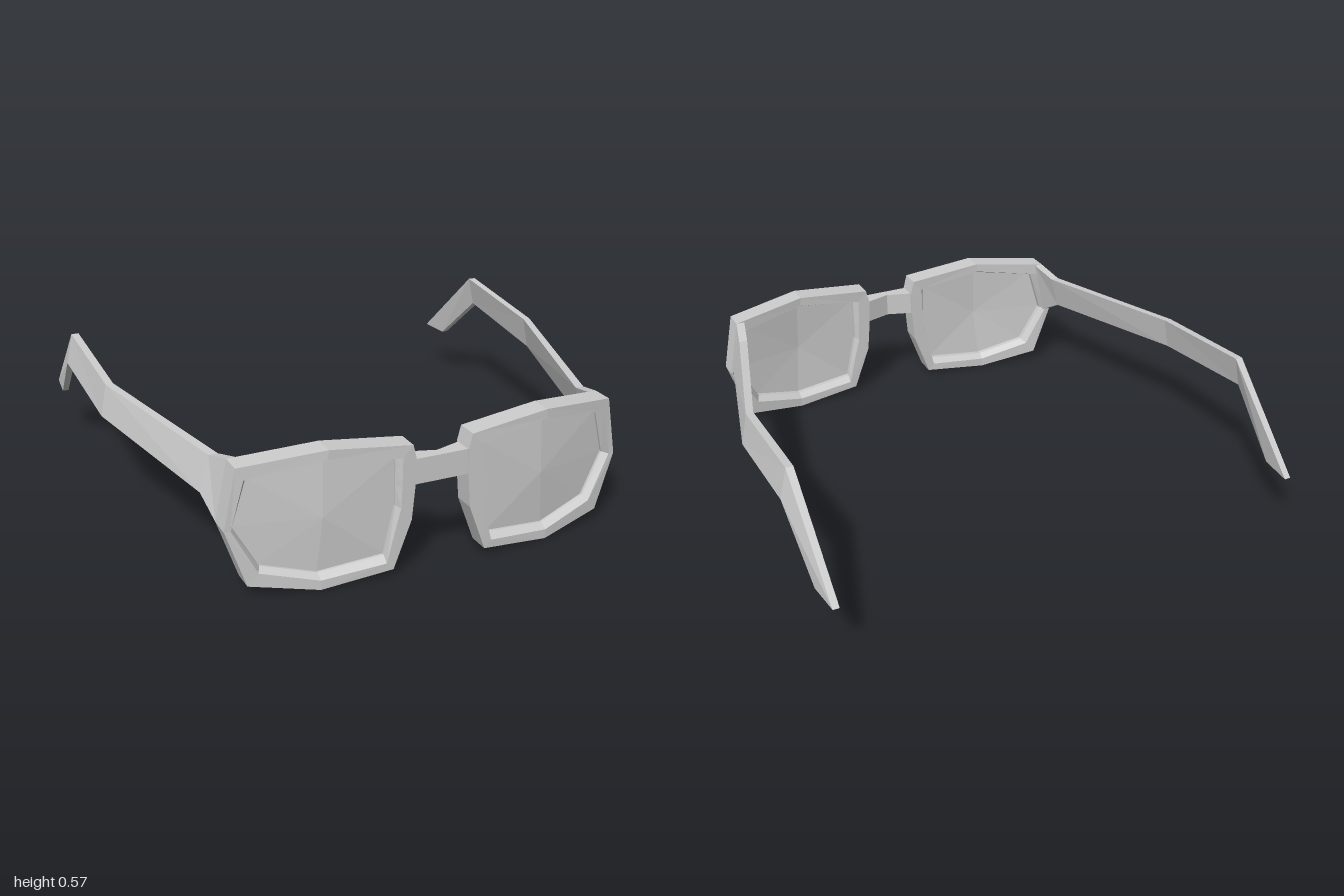
import * as THREE from 'three';

const grey = new THREE.MeshStandardMaterial({ color: 0xcccccc });
grey.name = 'grey';
const greyThin = new THREE.MeshStandardMaterial({ color: 0xcccccc, side: THREE.DoubleSide });
greyThin.name = 'grey lens';

// Flat-faced mesh from triangles; side = -1 mirrors it in x and keeps the winding right
function facetMesh(name, tris, side = 1, material = grey) {
  const pos = [];
  for (const [a, b, c] of tris) {
    for (const p of side > 0 ? [a, b, c] : [a, c, b]) pos.push(p[0] * side, p[1], p[2]);
  }
  const geo = new THREE.BufferGeometry();
  geo.setAttribute('position', new THREE.Float32BufferAttribute(pos, 3));
  geo.computeVertexNormals();
  const mesh = new THREE.Mesh(geo, material);
  mesh.name = name;
  return mesh;
}

// Skin neighbouring rings; rings run counterclockwise seen from the starting end
function loft(rings, caps) {
  const tris = [];
  for (let r = 0; r < rings.length - 1; r++) {
    const a = rings[r], b = rings[r + 1];
    a.forEach((p, i) => {
      const j = (i + 1) % a.length;
      tris.push([p, b[i], b[j]], [p, b[j], a[j]]);
    });
  }
  if (caps) {
    const s = rings[0], e = rings[rings.length - 1];
    for (let i = 1; i < s.length - 1; i++) tris.push([s[0], s[i], s[i + 1]], [e[0], e[i + 1], e[i]]);
  }
  return tris;
}

// Wrap of the front: z of the front face at a given x
const WRAP = [[0, 0.93], [0.2, 0.932], [0.45, 0.917], [0.77, 0.853], [0.85, 0.847]];
function frontZ(x) {
  let k = 1;
  while (k < WRAP.length - 1 && x > WRAP[k][0]) k++;
  const [x0, z0] = WRAP[k - 1], [x1, z1] = WRAP[k];
  return z0 + (z1 - z0) * (x - x0) / (x1 - x0);
}

// Outlines of one rim, counterclockwise from the upper outer corner
const OUTER = [[0.76, 0.515], [0.44, 0.55], [0.12, 0.515], [0.105, 0.455], [0.108, 0.355],
  [0.12, 0.22], [0.19, 0.033], [0.47, 0.004], [0.73, 0.053], [0.806, 0.278]];
const INNER = [[0.733, 0.467], [0.445, 0.513], [0.16, 0.47], [0.16, 0.43], [0.161, 0.355],
  [0.164, 0.275], [0.218, 0.062], [0.47, 0.042], [0.69, 0.1], [0.782, 0.278]];
const LENS = [[0.716, 0.462], [0.445, 0.5], [0.177, 0.46], [0.176, 0.43], [0.175, 0.355],
  [0.174, 0.275], [0.216, 0.084], [0.47, 0.06], [0.677, 0.115], [0.767, 0.278]];
const DEPTH = 0.088;
const place = (outline, back) => outline.map(([x, y]) => [x, y, frontZ(x) - back]);

function rim(side) {
  const front = place(OUTER, 0);
  return facetMesh('rim', loft([front, place(OUTER, DEPTH), place(INNER, DEPTH),
    place(LENS, 0.06), place(LENS, 0.03), place(INNER, 0), front], false), side);
}

// Lens fans out from a slightly raised centre
function lens(side) {
  const edge = place(LENS, 0.04);
  const centre = [0.45, 0.278, frontZ(0.45) - 0.03];
  return facetMesh('lens', edge.map((p, i) => [centre, p, edge[(i + 1) % edge.length]]), side, greyThin);
}

// Stations of the arm: [x, y, z] of top outer and bottom outer edge, then thickness
const ARM = [
  [[0.76, 0.515, 0.768], [0.806, 0.278, 0.762], 0.036],
  [[0.785, 0.485, 0.65], [0.822, 0.345, 0.65], 0.035],
  [[0.965, 0.53, -0.04], [0.99, 0.4, -0.04], 0.03],
  [[0.973, 0.575, -0.545], [1.0, 0.45, -0.545], 0.03],
  [[0.963, 0.225, -0.94], [0.977, 0.225, -0.8], 0.026],
];

function arm(side) {
  const rings = ARM.map(([t, b, w]) => [t, [t[0] - w, t[1], t[2]], [b[0] - w, b[1], b[2]], b]);
  return facetMesh('arm', loft(rings, true), side);
}

// Bridge, notched at the back
function bridge() {
  const ring = (x, back) => [[x, 0.455, back], [x, 0.455, 0.925], [x, 0.355, 0.925], [x, 0.355, back]];
  return facetMesh('bridge', loft([ring(0.115, 0.85), ring(0, 0.885), ring(-0.115, 0.85)], true));
}

export function createModel() {
  const model = new THREE.Group();
  model.name = 'glasses';
  model.add(bridge());
  for (const [side, label] of [[1, 'left'], [-1, 'right']]) {
    const half = new THREE.Group();
    half.name = label + 'Half';
    half.add(rim(side), lens(side), arm(side));
    model.add(half);
  }
  return model;
}
